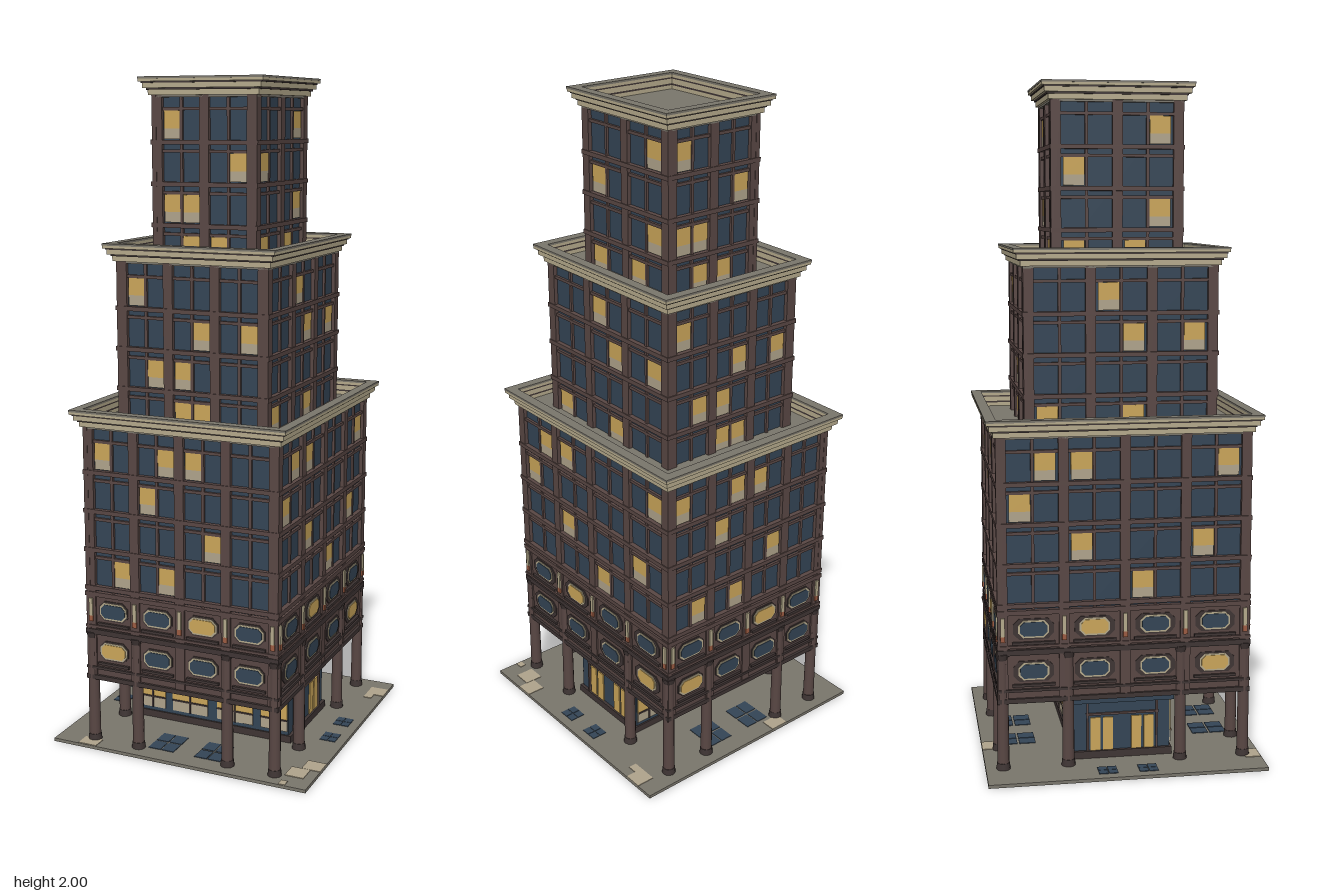
import * as THREE from 'three';

const mat = (name, color) => {
  const m = new THREE.MeshStandardMaterial({ color });
  m.name = name;
  return m;
};
const M = {
  glass: mat('navy glass', 0x344556),
  brick: mat('brown brick', 0x594744),
  dark: mat('dark trim', 0x3f3534),
  lit: mat('amber light', 0xcba65a),
  blind: mat('beige blind', 0xb0a48c),
  cream: mat('cream stone', 0xb5aa8c),
  roof: mat('grey paving', 0x7a766c),
  rust: mat('rust accent', 0x9c5c42),
};

function add(parent, name, geometry, material, x = 0, y = 0, z = 0) {
  const mesh = new THREE.Mesh(geometry, material);
  mesh.name = name;
  mesh.position.set(x, y, z);
  parent.add(mesh);
  return mesh;
}
const box = (parent, name, material, w, h, d, x, y, z) =>
  add(parent, name, new THREE.BoxGeometry(w, h, d), material, x, y, z);

// Rectangular ring lying flat, rising from y0 to y1
function ring(parent, name, material, ox, oz, ix, iz, y0, y1) {
  const rect = (path, a, b) => path.moveTo(-a, -b).lineTo(a, -b).lineTo(a, b).lineTo(-a, b).closePath();
  const shape = rect(new THREE.Shape(), ox, oz);
  shape.holes.push(rect(new THREE.Path(), ix, iz));
  const geo = new THREE.ExtrudeGeometry(shape, { depth: y1 - y0, bevelEnabled: false });
  geo.rotateX(-Math.PI / 2);
  add(parent, name, geo, material, 0, y0, 0);
}

// Wide window with cut corners
function cutPlate(w, h, depth) {
  const a = w / 2, b = h / 2, c = h * 0.28;
  const s = new THREE.Shape([[-a + c, -b], [a - c, -b], [a, -b + c], [a, b - c], [a - c, b], [-a + c, b], [-a, b - c], [-a, -b + c]]
    .map(p => new THREE.Vector2(...p)));
  return new THREE.ExtrudeGeometry(s, { depth, bevelEnabled: false });
}

const BAY_X = 0.148, BAY_Z = 0.18, PIER = 0.03;
const TIERS = [
  { nx: 4, nz: 4, hx: 0.312, hz: 0.374, y0: 0.215, roof: 1.0, top: 1.05, row: 0.91,
    front: [[0, 3, 4], [2], [5], [1, 3]], side: [[1, 2, 7], [0], [2, 6], [4]] },
  { nx: 3, nz: 3, hx: 0.24, hz: 0.285, y0: 1.0, roof: 1.48, top: 1.53, row: 1.39,
    front: [[0], [3, 5], [1, 2], [2, 3]], side: [[2], [3, 5], [], [0, 3]] },
  { nx: 2, nz: 2, hx: 0.165, hz: 0.194, y0: 1.48, roof: 1.95, top: 2.0, row: 1.865,
    front: [[0], [3], [0, 1], [1, 2]], side: [[3], [0], [3], [0, 2]] },
];

// One upright face looking along +z, dist from the centre
function facade(tier, n, bay, dist, lit) {
  const g = new THREE.Group();
  const yMid = (tier.y0 + tier.roof) / 2, h = tier.roof - tier.y0;
  for (let i = 0; i <= n; i++)
    box(g, 'pier', M.brick, PIER, h, 0.014, (i - n / 2) * bay, yMid, dist - 0.007);
  const off = bay * 0.205, w = bay * 0.345;
  const low = tier.y0 < 0.5 ? 0.49 : tier.y0;
  for (let i = 0; i < n; i++) {
    const cx = (i - (n - 1) / 2) * bay;
    box(g, 'mullion', M.brick, 0.009, tier.roof - low, 0.008, cx, (tier.roof + low) / 2, dist - 0.009);
  }
  lit.forEach((cols, r) => cols.forEach(c => {
    const x = (Math.floor(c / 2) - (n - 1) / 2) * bay + (c % 2 ? off : -off);
    const y = tier.row - 0.119 * r;
    box(g, 'litPane', M.lit, w, 0.05, 0.006, x, y + 0.015, dist - 0.010);
    box(g, 'windowBlind', M.blind, w, 0.03, 0.006, x, y - 0.025, dist - 0.010);
  }));
  return g;
}

// Two decorated storeys under the first tier's windows
function lowerFacade(n, bay, dist, litUpper, litLower) {
  const g = new THREE.Group();
  [[0.434, litUpper], [0.307, litLower]].forEach(([y, litIndex]) => {
    for (let i = 0; i < n; i++) {
      const x = (i - (n - 1) / 2) * bay;
      add(g, 'panelFrame', cutPlate(bay * 0.66, 0.062, 0.004), M.dark, x, y, dist - 0.006);
      add(g, 'wideWindowFrame', cutPlate(0.09, 0.052, 0.004), M.cream, x, y, dist - 0.004);
      add(g, 'wideWindow', cutPlate(0.08, 0.042, 0.004), i === litIndex ? M.lit : M.glass, x, y, dist - 0.002);
      box(g, 'panelSill', M.dark, bay * 0.7, 0.008, 0.01, x, y - 0.042, dist - 0.002);
    }
  });
  for (let i = 0; i <= n; i++) {
    const x = (i - n / 2) * bay;
    box(g, 'pierStone', M.cream, 0.012, 0.055, 0.006, x, 0.443, dist + 0.002);
    box(g, 'pierAccent', M.rust, 0.014, 0.018, 0.006, x, 0.407, dist + 0.002);
  }
  return g;
}

// Places a face and its twin on the opposite side
function pair(parent, name, make, turn) {
  for (const extra of [0, Math.PI]) {
    const g = make();
    g.name = name;
    g.rotation.y = turn + extra;
    parent.add(g);
  }
}

function buildTier(t, index) {
  const g = new THREE.Group();
  g.name = ['lowerTier', 'middleTier', 'upperTier'][index];
  box(g, 'glassCore', M.glass, t.hx * 2 - 0.024, t.roof - t.y0, t.hz * 2 - 0.024, 0, (t.y0 + t.roof) / 2, 0);
  for (let r = 0; r < 4; r++) {
    const y = t.row - 0.119 * r;
    box(g, 'sillBand', M.brick, t.hx * 2 + 0.006, 0.013, t.hz * 2 + 0.006, 0, y - 0.049, 0);
    box(g, 'headBand', M.brick, t.hx * 2 - 0.008, 0.009, t.hz * 2 - 0.008, 0, y + 0.045, 0);
  }
  pair(g, 'frontFacade', () => facade(t, t.nx, BAY_X, t.hz, t.front), 0);
  pair(g, 'sideFacade', () => facade(t, t.nz, BAY_Z, t.hx, t.side), Math.PI / 2);
  // Stepped cornice, parapet and sunken roof
  box(g, 'roofDeck', M.roof, t.hx * 2, 0.01, t.hz * 2, 0, t.roof - 0.003, 0);
  const steps = [[0.008, -0.002, 0.013, M.cream], [0.012, 0.013, 0.018, M.dark],
    [0.02, 0.018, 0.032, M.cream], [0.023, 0.032, 0.036, M.dark],
    [0.029, 0.036, 0.044, M.cream], [0.03, 0.044, t.top - t.roof, M.roof]];
  steps.forEach(([out, a, b, m]) =>
    ring(g, 'cornice', m, t.hx + out, t.hz + out, t.hx - 0.001, t.hz - 0.001, t.roof + a, t.roof + b));
  return g;
}

// Glazed entrance hall set back below the tower
function buildLobby() {
  const g = new THREE.Group();
  g.name = 'lobby';
  box(g, 'lobbyWall', M.glass, 0.51, 0.205, 0.29, 0, 0.112, 0);
  box(g, 'lobbyCanopy', M.glass, 0.55, 0.025, 0.31, 0, 0.197, 0);
  box(g, 'lobbyPlinth', M.dark, 0.53, 0.022, 0.3, 0, 0.021, 0);
  pair(g, 'shopFront', () => {
    const f = new THREE.Group();
    [[-0.208, 0.088], [-0.077, 0.122], [0.077, 0.122], [0.208, 0.088]].forEach(([x, w]) => {
      box(f, 'shopPane', M.lit, w, 0.1, 0.006, x, 0.13, 0.146);
      box(f, 'shopBlind', M.blind, w, 0.035, 0.006, x, 0.062, 0.146);
      box(f, 'shopMullion', M.dark, 0.005, 0.135, 0.01, x, 0.112, 0.147);
      box(f, 'shopRail', M.dark, w, 0.005, 0.01, x, 0.08, 0.147);
    });
    return f;
  }, 0);
  pair(g, 'doorway', () => {
    const f = new THREE.Group();
    for (const s of [-1, 1]) {
      for (const o of [0.043, 0.081])
        box(f, 'doorPane', M.lit, 0.03, 0.108, 0.006, s * o, 0.08, 0.256);
      box(f, 'doorJamb', M.brick, 0.006, 0.17, 0.012, s * 0.105, 0.1, 0.256);
    }
    box(f, 'doorHead', M.brick, 0.22, 0.006, 0.012, 0, 0.145, 0.256);
    return f;
  }, Math.PI / 2);
  return g;
}

export function createModel() {
  const model = new THREE.Group();
  model.name = 'steppedTower';

  // Paved base with pale tiles and floor lights
  box(model, 'basePlate', M.roof, 0.83, 0.01, 0.826, 0, 0.005, 0);
  [[0.386, -0.328, 0.058, 0.056], [0.37, -0.285, 0.026, 0.03], [0.386, 0.265, 0.058, 0.056],
    [0.356, 0.323, 0.058, 0.058], [0.34, 0.398, 0.02, 0.026], [-0.12, -0.39, 0.06, 0.046], [-0.3, 0.388, 0.06, 0.046]]
    .forEach(([x, z, w, d]) => box(model, 'paleTile', M.blind, w, 0.003, d, x, 0.0105, z));
  for (const s of [-1, 1]) for (const k of [-1, 1])
    for (const a of [-1, 1]) for (const b of [-1, 1]) {
      box(model, 'sideFloorLight', M.glass, 0.024, 0.003, 0.027, s * (0.361 + a * 0.013), 0.0105, k * 0.06 + b * 0.0145);
      box(model, 'frontFloorLight', M.glass, 0.04, 0.003, 0.05, k * 0.077 + a * 0.022, 0.0105, s * (0.3 + b * 0.028));
    }

  // Round columns carrying the tower
  const columnAt = (x, z) => {
    add(model, 'column', new THREE.CylinderGeometry(0.016, 0.018, 0.35, 12), M.brick, x, 0.185, z);
    add(model, 'columnFoot', new THREE.CylinderGeometry(0.019, 0.021, 0.02, 12), M.dark, x, 0.02, z);
    add(model, 'columnHead', new THREE.CylinderGeometry(0.021, 0.017, 0.018, 12), M.dark, x, 0.352, z);
  };
  for (const sx of [-1, 1]) for (const sz of [-1, 1])
    [[0.299, 0.361], [0.148, 0.361], [0.299, 0.168]].forEach(([x, z]) => columnAt(sx * x, sz * z));

  model.add(buildLobby());
  TIERS.forEach((t, i) => model.add(buildTier(t, i)));

  // Brick lower storeys
  const [t] = TIERS;
  box(model, 'lowerStoreys', M.brick, t.hx * 2 - 0.01, 0.275, t.hz * 2 - 0.01, 0, 0.3515, 0);
  [[0.484, 0.014, M.brick], [0.365, 0.016, M.dark], [0.382, 0.008, M.brick], [0.25, 0.008, M.dark], [0.219, 0.014, M.dark]]
    .forEach(([y, h, m]) => box(model, 'storeyBand', m, t.hx * 2 + 0.006, h, t.hz * 2 + 0.006, 0, y, 0));
  pair(model, 'lowerFrontFacade', () => lowerFacade(4, BAY_X, t.hz, 2, 0), 0);
  pair(model, 'lowerSideFacade', () => lowerFacade(4, BAY_Z, t.hx, 1, 3), Math.PI / 2);
  return model;
}
